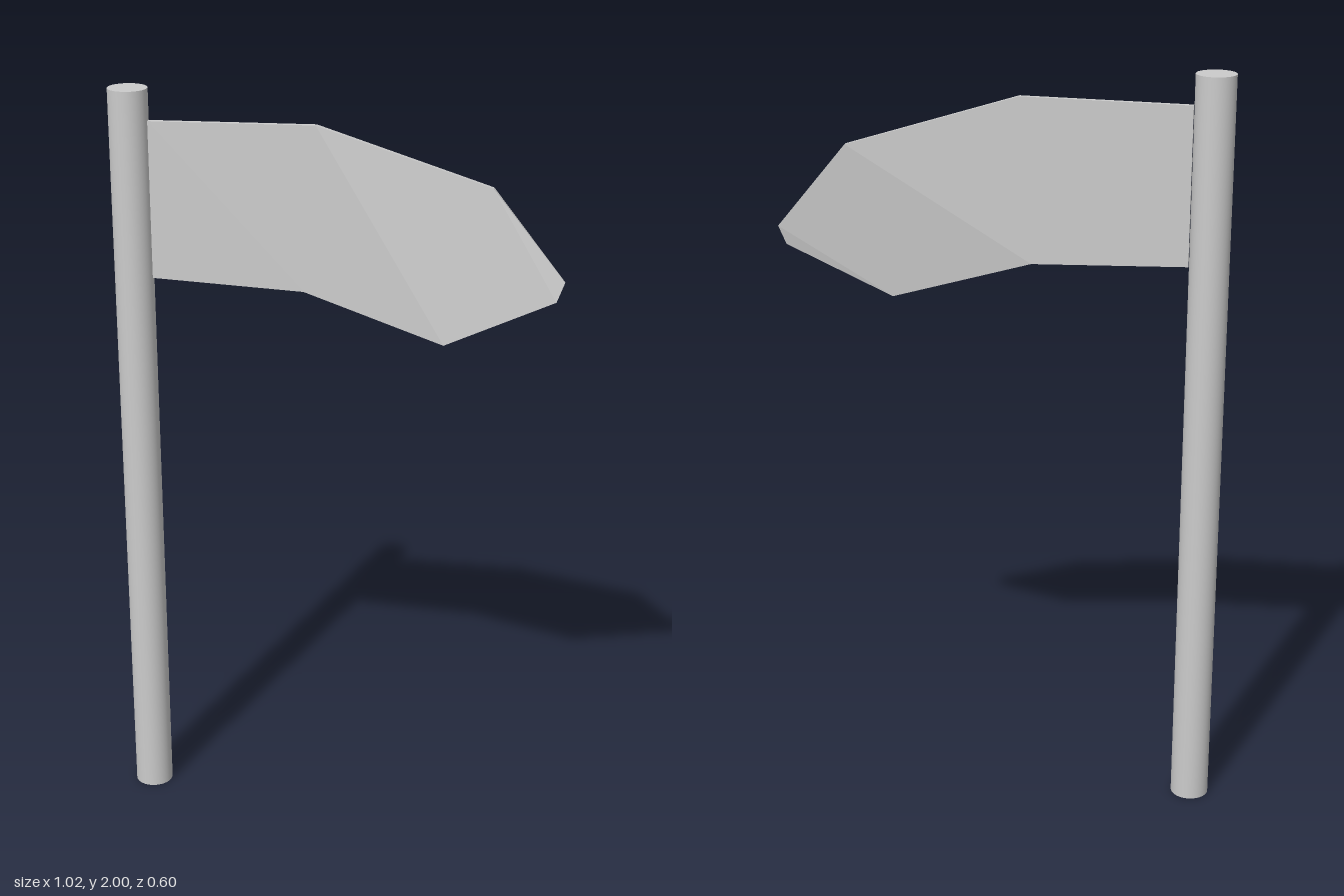
import * as THREE from 'three';

// Sections from pole to tip: top point, bottom point, half thickness
const SECTIONS = [
  { top: [-0.42, 1.92, -0.222], bottom: [-0.42, 1.51, -0.222], half: 0.007 },
  { top: [-0.04, 1.93, -0.016], bottom: [-0.07, 1.5, -0.028], half: 0.007 },
  { top: [0.352, 1.795, 0.194], bottom: [0.24, 1.39, 0.168], half: 0.006 },
  { top: [0.508, 1.57, 0.298], bottom: [0.488, 1.52, 0.296], half: 0.002 },
];

// Thin banner lofted through four-cornered sections
function bannerGeometry() {
  const normal = new THREE.Vector3(-0.48, 0, 0.88);
  const positions = [];
  const index = [];
  const corner = (p, offset) =>
    positions.push(...new THREE.Vector3(...p).addScaledVector(normal, offset).toArray());

  SECTIONS.forEach(({ top, bottom, half }) => {
    corner(top, half);
    corner(top, -half);
    corner(bottom, -half);
    corner(bottom, half);
  });
  const quad = (a, b, c, d) => index.push(a, b, d, b, c, d);
  const last = (SECTIONS.length - 1) * 4;
  for (let s = 0; s < last; s += 4) {
    for (let k = 0; k < 4; k++) {
      const n = (k + 1) % 4;
      quad(s + k, s + 4 + k, s + 4 + n, s + n);
    }
  }
  // End caps
  quad(0, 1, 2, 3);
  quad(last + 3, last + 2, last + 1, last);

  const indexed = new THREE.BufferGeometry();
  indexed.setAttribute('position', new THREE.Float32BufferAttribute(positions, 3));
  indexed.setIndex(index);
  const geometry = indexed.toNonIndexed();
  geometry.computeVertexNormals();
  return geometry;
}

export function createModel() {
  const group = new THREE.Group();
  group.name = 'flagpole';

  // Round upright pole
  const pole = new THREE.Mesh(
    new THREE.CylinderGeometry(0.051, 0.051, 2, 32),
    new THREE.MeshStandardMaterial({ color: 0xcccccc })
  );
  pole.name = 'pole';
  pole.position.set(-0.464, 1, -0.251);
  group.add(pole);

  // Faceted banner hanging off the pole
  const banner = new THREE.Mesh(
    bannerGeometry(),
    new THREE.MeshStandardMaterial({ color: 0xcccccc, flatShading: true })
  );
  banner.name = 'banner';
  group.add(banner);

  return group;
}
